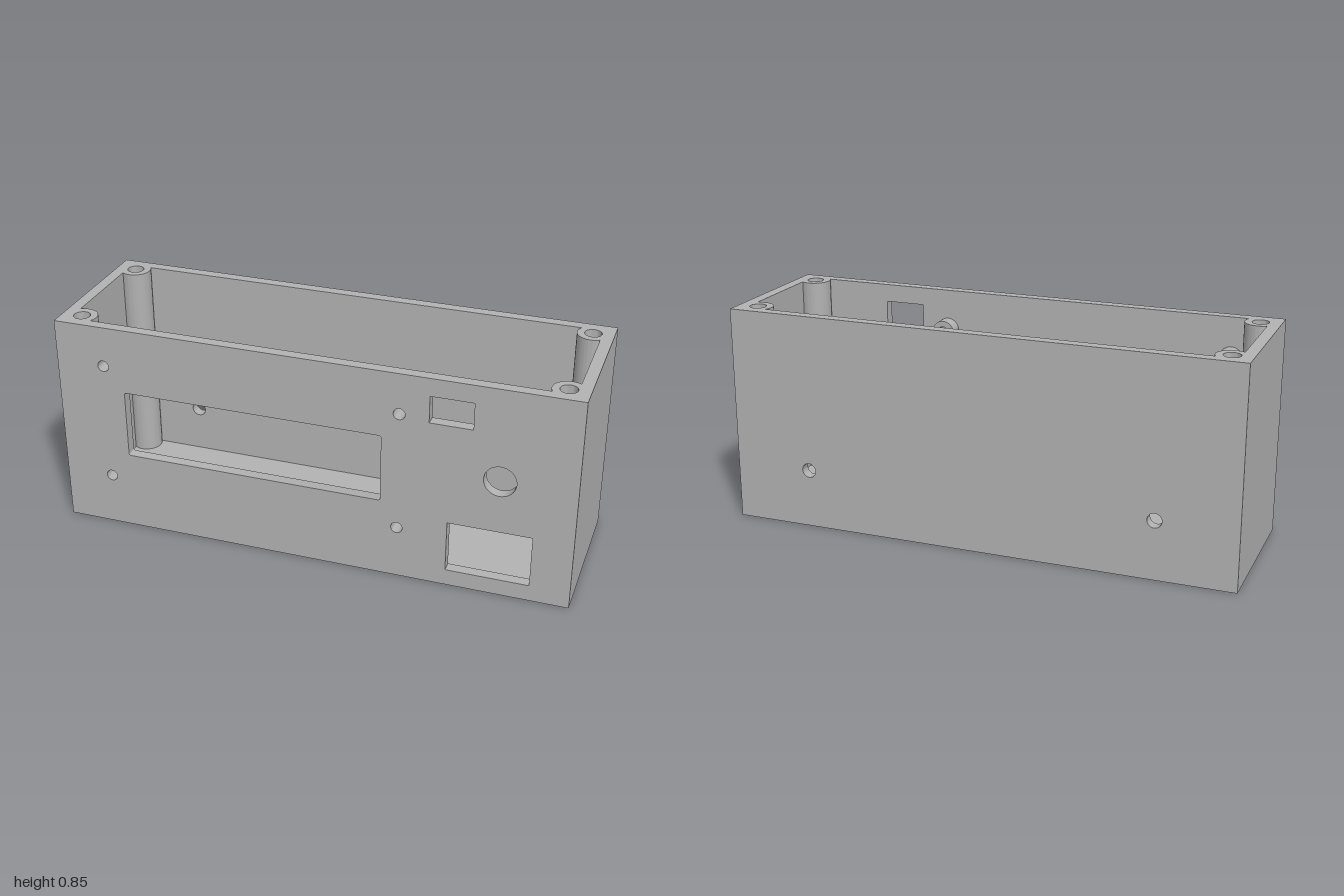
import * as THREE from 'three';
import { toCreasedNormals } from 'three/addons/utils/BufferGeometryUtils.js';

const W = 1, H = 0.845, D = 0.308;      // outer half width, height, half depth
const IX = 0.955, IZ = 0.265;           // inner half width and half depth
const FLOOR = 0.045, WALL = D - IZ;

const grey = new THREE.MeshStandardMaterial({ color: 0xb2b2b2 });
grey.name = 'grey plastic';

function circle(x, y, r, Type = THREE.Path) {
  const p = new Type();
  p.absarc(x, y, r, 0, Math.PI * 2, false);
  return p;
}

function rect(x0, y0, x1, y1, r = 0, Type = THREE.Path) {
  const p = new Type();
  if (!r) {
    p.moveTo(x0, y0).lineTo(x1, y0).lineTo(x1, y1).lineTo(x0, y1).closePath();
    return p;
  }
  p.absarc(x1 - r, y0 + r, r, -Math.PI / 2, 0, false);
  p.absarc(x1 - r, y1 - r, r, 0, Math.PI / 2, false);
  p.absarc(x0 + r, y1 - r, r, Math.PI / 2, Math.PI, false);
  p.absarc(x0 + r, y0 + r, r, Math.PI, Math.PI * 1.5, false);
  p.closePath();
  return p;
}

function extrude(shape, holes, depth) {
  shape.holes = holes;
  const geo = new THREE.ExtrudeGeometry(shape, { depth, bevelEnabled: false, curveSegments: 20 });
  return toCreasedNormals(geo, 0.6);
}

export function createModel() {
  const model = new THREE.Group();
  model.name = 'enclosure';
  const add = (name, geo, x, y, z, parent = model) => {
    const mesh = new THREE.Mesh(geo, grey);
    mesh.name = name;
    mesh.position.set(x, y, z);
    parent.add(mesh);
    return mesh;
  };

  // Front wall with display window, switch, knob and socket cut-outs
  const screws = [];
  for (const x of [-0.81, 0.345]) for (const y of [0.21, 0.685]) screws.push([x, y]);
  add('frontWall', extrude(rect(-W, 0, W, H, 0, THREE.Shape), [
    rect(-0.73, 0.315, 0.28, 0.585, 0.008),
    rect(0.455, 0.67, 0.615, 0.775),
    rect(0.535, 0.065, 0.85, 0.27),
    circle(0.72, 0.48, 0.06),
    ...screws.map(([x, y]) => circle(x, y, 0.022)),
  ], WALL), 0, 0, IZ);

  // Back wall with two mounting holes
  add('backWall', extrude(rect(-W, 0, W, H, 0, THREE.Shape),
    [-0.69, 0.69].map(x => circle(x, 0.23, 0.028)), WALL), 0, 0, -D);

  // Side walls and floor fit between front and back
  for (const s of [-1, 1]) {
    add(s > 0 ? 'leftWall' : 'rightWall', new THREE.BoxGeometry(W - IX, H, IZ * 2),
      s * (W + IX) / 2, H / 2, 0);
  }
  add('floor', new THREE.BoxGeometry(IX * 2, FLOOR, IZ * 2), 0, FLOOR / 2, 0);

  // Display standoffs behind the front wall
  const standoff = extrude(circle(0, 0, 0.045, THREE.Shape), [circle(0, 0, 0.022)], 0.053);
  for (const [x, y] of screws) add('displayStandoff', standoff, x, y, IZ - 0.053);

  // Corner screw posts: a round column filled into the corner, with a stepped bore
  const edge = 0.033, R = 0.06;
  const a = Math.asin(edge / R), s = Math.sqrt(R * R - edge * edge);
  const section = () => {
    const p = new THREE.Shape();
    p.moveTo(edge, edge).lineTo(-s, edge);
    p.absarc(0, 0, R, Math.PI - a, Math.PI * 1.5 + a, false);
    p.closePath();
    return p;
  };
  const layers = [
    [FLOOR, H - 0.25, 0],
    [H - 0.25, H - 0.06, 0.026],
    [H - 0.06, H, 0.032],
  ].map(([y0, y1, r]) => {
    const geo = extrude(section(), r ? [circle(0, 0, r)] : [], y1 - y0);
    return geo.rotateX(-Math.PI / 2).translate(0, y0, 0);
  });
  // The section's own corner points to +x, -z; quarter turns reach the others
  [[1, -1], [-1, -1], [-1, 1], [1, 1]].forEach(([sx, sz], i) => {
    const post = new THREE.Group();
    post.name = 'screwPost';
    post.position.set(sx * (IX - edge), 0, sz * (IZ - edge));
    post.rotation.y = i * Math.PI / 2;
    layers.forEach(geo => add('screwPostSection', geo, 0, 0, 0, post));
    model.add(post);
  });

  return model;
}
